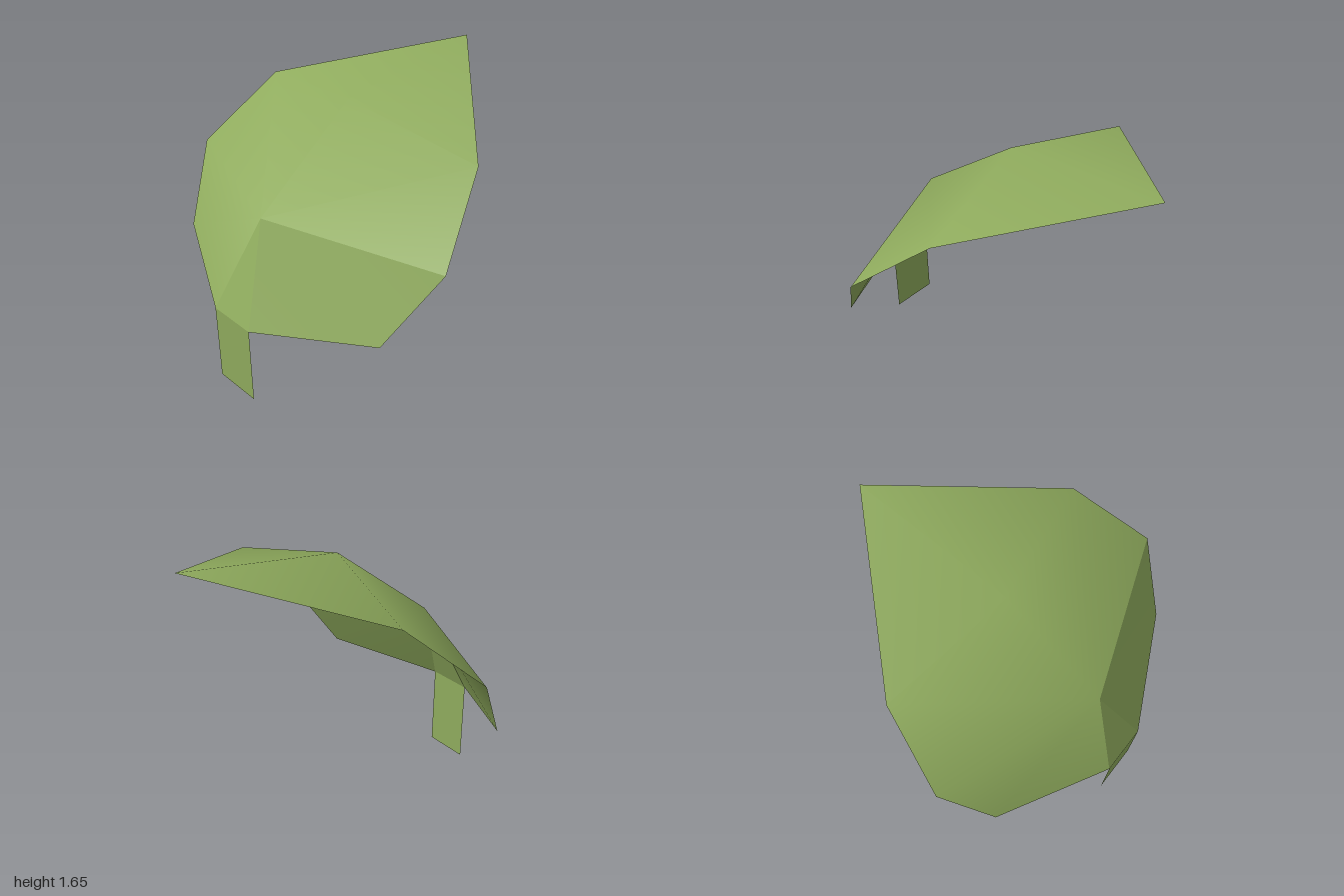
import * as THREE from 'three';

// Corner points of the leaf; suffix L is the +z half, R the -z half
const P = {
  tip: [0.97, 1.65, -0.01],
  ridge: [-0.05, 1.57, -0.01],
  heart: [-0.72, 1.08, -0.01],
  stemL: [-0.97, 0, 0.14],
  stemR: [-0.97, 0, -0.16],
};
const sides = {
  shoulder: [0.11, 1.41, 0.82],
  widest: [-0.34, 1.03, 1.0],
  lobe: [-0.62, 0.6, 0.82],
  base: [-0.97, 0.51, 0.15],
};
for (const [name, [x, y, z]] of Object.entries(sides)) {
  const shift = name === 'widest' ? 0 : -0.01;
  P[name + 'L'] = [x, y, z + shift];
  P[name + 'R'] = [x, y, -z + shift];
}

// Builds a sheet from polygons of named points; shared points are shaded smoothly
function sheet(name, material, polygons) {
  const names = [...new Set(polygons.flat())];
  const index = [];
  for (const poly of polygons) {
    for (let i = 1; i < poly.length - 1; i++) {
      index.push(...[poly[0], poly[i], poly[i + 1]].map((n) => names.indexOf(n)));
    }
  }
  const geometry = new THREE.BufferGeometry();
  geometry.setAttribute('position', new THREE.Float32BufferAttribute(names.flatMap((n) => P[n]), 3));
  geometry.setIndex(index);
  geometry.computeVertexNormals();
  const mesh = new THREE.Mesh(geometry, material);
  mesh.name = name;
  return mesh;
}

export function createModel() {
  const group = new THREE.Group();
  group.name = 'leaf';
  const green = new THREE.MeshStandardMaterial({ color: 0x8fab5d, side: THREE.DoubleSide });
  green.name = 'leaf green';

  group.add(
    // Arched blade, flowing smoothly into the rear lobe
    sheet('blade', green, [
      ['heart', 'widestL', 'shoulderL', 'ridge'],
      ['ridge', 'shoulderL', 'tip'],
      ['heart', 'ridge', 'shoulderR', 'widestR'],
      ['ridge', 'tip', 'shoulderR'],
      ['heart', 'widestR', 'lobeR', 'baseR'],
    ]),
    // Creased front lobe
    sheet('frontLobe', green, [['heart', 'baseL', 'lobeL', 'widestL']]),
    // Wedge joining the stem to the blade
    sheet('stemWedge', green, [['baseL', 'heart', 'baseR']]),
    // Flat upright stem
    sheet('stem', green, [['baseL', 'baseR', 'stemR', 'stemL']]),
  );
  return group;
}
